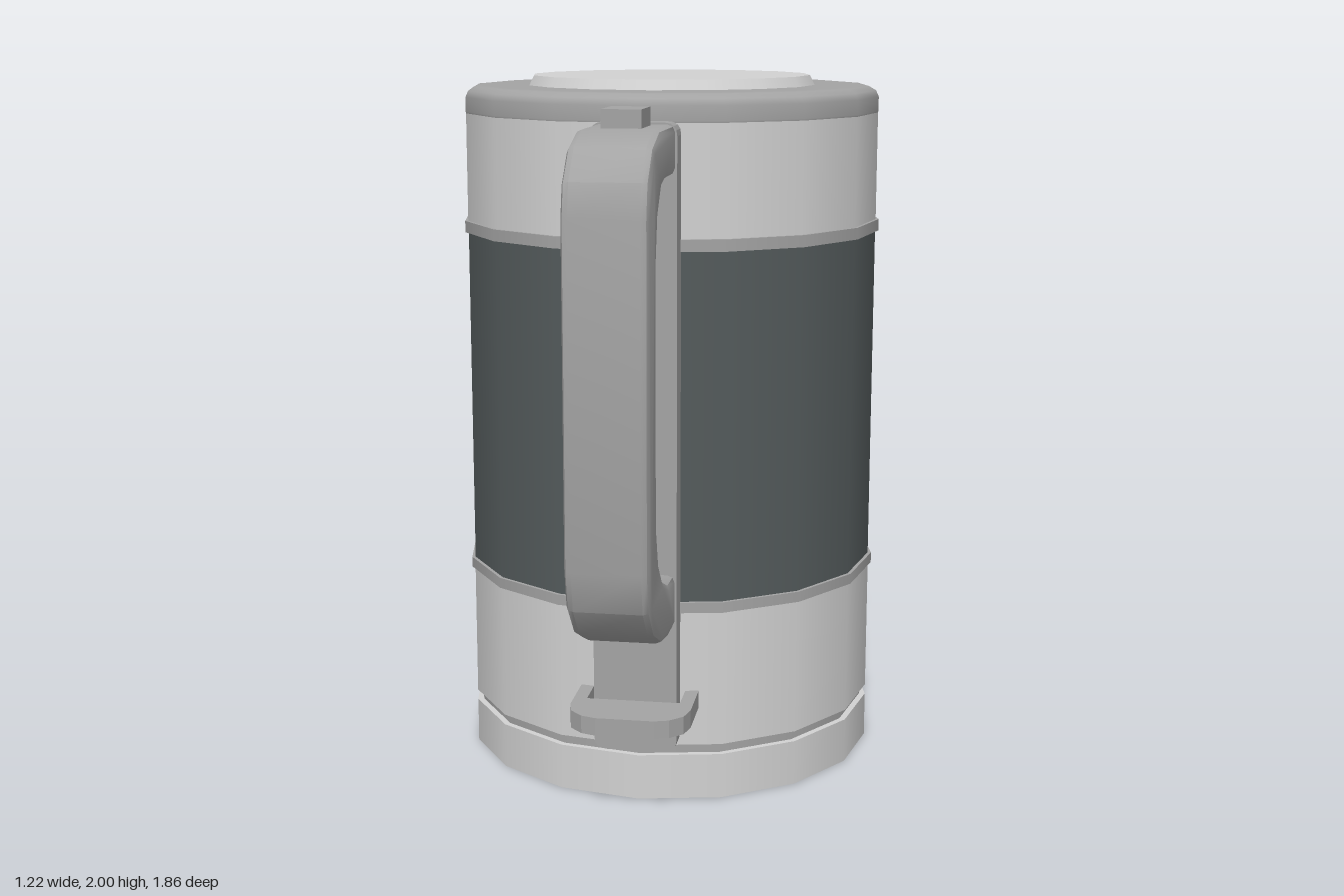
import * as THREE from 'three';
import { toCreasedNormals } from 'three/addons/utils/BufferGeometryUtils.js';

const SIDES = 16;
const BODY_Z = -0.147;

function material(name, color, side = THREE.FrontSide) {
  const m = new THREE.MeshStandardMaterial({ color, side });
  m.name = name;
  return m;
}

export function createModel() {
  const steel = material('light steel', 0xd2d2d2);
  const grey = material('grey trim', 0xa4a4a4, THREE.DoubleSide);
  const dark = material('dark band', 0x545b5c);
  const model = new THREE.Group();
  model.name = 'kettle';

  const add = (name, geometry, mat, x = 0, y = 0, z = 0) => {
    const mesh = new THREE.Mesh(geometry, mat);
    mesh.name = name;
    mesh.position.set(x, y, z);
    model.add(mesh);
    return mesh;
  };
  const drum = (name, y0, y1, rBottom, rTop, mat) =>
    add(name, new THREE.CylinderGeometry(rTop, rBottom, y1 - y0, SIDES), mat, 0, (y0 + y1) / 2, BODY_Z);
  const outline = (points) => new THREE.Shape(points.map(([a, b]) => new THREE.Vector2(a, b)));

  // Stacked body
  drum('base', 0, 0.13, 0.603, 0.603, steel);
  drum('baseGroove', 0.13, 0.16, 0.585, 0.585, grey);
  drum('lowerBody', 0.16, 0.55, 0.603, 0.603, steel);
  drum('lowerRing', 0.55, 0.58, 0.612, 0.612, grey);
  drum('middleBand', 0.58, 1.555, 0.602, 0.602, dark);
  drum('upperRing', 1.555, 1.588, 0.612, 0.612, grey);
  drum('upperBody', 1.588, 1.895, 0.603, 0.603, steel);

  // Lid with a rounded rim and a raised disc
  const lidProfile = [[0.603, 1.895], [0.604, 1.9], [0.604, 1.94], [0.596, 1.958], [0.575, 1.97], [0.55, 1.972], [0, 1.972]];
  add('lid', new THREE.LatheGeometry(lidProfile.map(([r, y]) => new THREE.Vector2(r, y)), SIDES), grey, 0, 0, BODY_Z);
  drum('lidDisc', 1.97, 2, 0.42, 0.405, steel);

  // Spout: open half cone with a wall, rim and inner floor
  const rim = [[-0.155, -0.72], [-0.11, -0.81], [-0.06, -0.895], [-0.03, -0.918], [0, -0.926],
    [0.03, -0.918], [0.06, -0.895], [0.11, -0.81], [0.155, -0.72]];
  const section = (scale, y, inset) => rim.map(([x, z]) =>
    [x * scale * (1 - inset * 6), y, -0.72 + (z + 0.72) * scale * (1 - inset * 4)]);
  const rows = [
    section(0.1, 1.655, 0), section(1, 1.89, 0), section(1, 1.89, 0.025), section(0.62, 1.79, 0.02),
    rim.map(() => [0, 1.79, -0.72]),
  ];
  const spoutPositions = [];
  for (let i = 0; i < rows.length - 1; i++) {
    for (let j = 0; j < rim.length - 1; j++) {
      const a = rows[i][j], b = rows[i][j + 1], c = rows[i + 1][j + 1], d = rows[i + 1][j];
      spoutPositions.push(...a, ...d, ...b, ...b, ...d, ...c);
    }
  }
  const spout = new THREE.BufferGeometry();
  spout.setAttribute('position', new THREE.Float32BufferAttribute(spoutPositions, 3));
  add('spout', toCreasedNormals(spout, 0.7), grey);

  // Backing strip behind the handle
  const strip = new THREE.Shape();
  const w = 0.116, y0 = 0.163, y1 = 1.9, r = 0.035;
  strip.moveTo(-w + r, y0);
  strip.lineTo(w - r, y0);
  strip.quadraticCurveTo(w, y0, w, y0 + r);
  strip.lineTo(w, y1 - r);
  strip.quadraticCurveTo(w, y1, w - r, y1);
  strip.lineTo(-w + r, y1);
  strip.quadraticCurveTo(-w, y1, -w, y1 - r);
  strip.lineTo(-w, y0 + r);
  strip.quadraticCurveTo(-w, y0, -w + r, y0);
  add('handleStrip', new THREE.ExtrudeGeometry(strip, { depth: 0.08, bevelEnabled: false, curveSegments: 4 }), grey, 0, 0, 0.422);

  // C-shaped handle, drawn in side profile and extruded across
  const grip = outline([
    [0.48, 0.525], [0.58, 0.527], [0.70, 0.547], [0.825, 0.605], [0.905, 0.69], [0.93, 0.8],
    [0.93, 1.69], [0.91, 1.78], [0.836, 1.86], [0.725, 1.895], [0.48, 1.895],
    [0.48, 1.763], [0.64, 1.763], [0.72, 1.745], [0.775, 1.68], [0.8, 1.57],
    [0.8, 0.9], [0.765, 0.795], [0.69, 0.72], [0.59, 0.68], [0.48, 0.675],
  ]);
  const gripGeometry = new THREE.ExtrudeGeometry(grip, {
    depth: 0.18, bevelThickness: 0.02, bevelSize: 0.02, bevelOffset: -0.02, bevelSegments: 2,
  });
  gripGeometry.translate(0, 0, -0.09).rotateY(-Math.PI / 2);
  add('handle', toCreasedNormals(gripGeometry, 0.6), grey);
  add('lidButton', new THREE.BoxGeometry(0.104, 0.06, 0.145), grey, 0, 1.913, 0.611);

  // U-shaped cord hook around the strip, drawn flat with its second axis along z
  const hook = outline([
    [0.167, 0.38], [0.167, 0.58], [0.155, 0.63], [0.12, 0.665], [0.08, 0.678],
    [-0.08, 0.678], [-0.12, 0.665], [-0.155, 0.63], [-0.167, 0.58], [-0.167, 0.38],
    [-0.13, 0.38], [-0.13, 0.53], [0.13, 0.53], [0.13, 0.38],
  ]);
  const hookGeometry = new THREE.ExtrudeGeometry(hook, { depth: 0.05, bevelEnabled: false });
  hookGeometry.rotateX(Math.PI / 2);
  add('cordHook', hookGeometry, grey, 0, 0.32, 0);

  return model;
}
